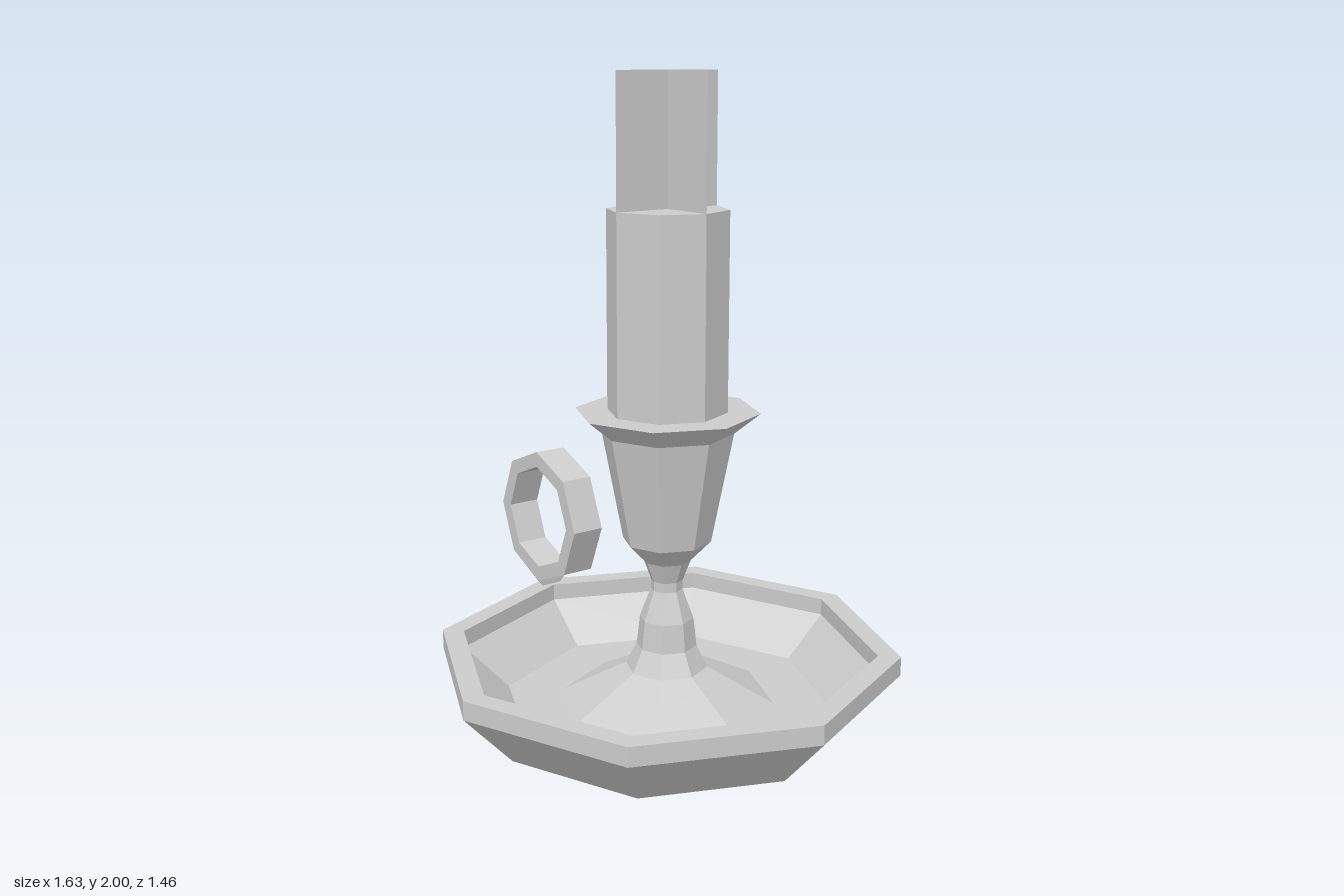
import * as THREE from 'three';

const SIDES = 8;
const AXIS_X = 0.085; // the dish and candle stand off-centre, the handle balances them

const metal = new THREE.MeshStandardMaterial({ color: 0xcccccc, flatShading: true });
const thin = new THREE.MeshStandardMaterial({ color: 0xcccccc, flatShading: true, side: THREE.DoubleSide });

// Eight-sided turned part from [radius, height] pairs, listed bottom to top
function turned(name, profile) {
  const points = profile.map(([r, y]) => new THREE.Vector2(r, y));
  const mesh = new THREE.Mesh(new THREE.LatheGeometry(points, SIDES), metal);
  mesh.name = name;
  mesh.position.x = AXIS_X;
  return mesh;
}

// Block between two rings of four corners, each counter-clockwise seen from above
function loft(bottom, top) {
  const geometry = new THREE.BufferGeometry();
  geometry.setAttribute('position', new THREE.Float32BufferAttribute([...bottom, ...top].flat(), 3));
  const index = [0, 2, 1, 0, 3, 2, 4, 5, 6, 4, 6, 7];
  for (let i = 0; i < 4; i++) {
    const j = (i + 1) % 4;
    index.push(i, j, j + 4, i, j + 4, i + 4);
  }
  geometry.setIndex(index);
  geometry.computeVertexNormals();
  return geometry;
}

export function createModel() {
  const model = new THREE.Group();
  model.name = 'candlestick';

  // Dish with raised rim and sunken floor
  model.add(turned('dish', [
    [0, 0], [0.57, 0], [0.73, 0.175], [0.73, 0.235],
    [0.66, 0.235], [0.66, 0.18], [0.515, 0.055], [0, 0.055],
  ]));

  // Flared foot, waisted stem, cup and drip flange
  model.add(turned('stem', [
    [0.34, 0.055], [0.13, 0.165], [0.095, 0.235], [0.085, 0.325], [0.05, 0.42],
    [0.05, 0.45], [0.075, 0.515], [0.138, 0.58], [0.205, 0.925], [0.285, 0.99], [0, 0.99],
  ]));

  model.add(turned('candle', [[0.185, 0.99], [0.185, 1.6], [0, 1.6]]));

  // Flame as two crossed cards
  const flame = new THREE.Group();
  flame.name = 'flame';
  for (const angle of [0, Math.PI / 2]) {
    const card = new THREE.Mesh(new THREE.PlaneGeometry(0.37, 0.4), thin);
    card.name = 'flameCard';
    card.rotation.y = angle;
    flame.add(card);
  }
  flame.position.set(AXIS_X, 1.8, 0);
  model.add(flame);

  // Finger ring with a rectangular section, standing upright
  const handle = turned('handleRing', [
    [0.18, -0.055], [0.232, -0.055], [0.232, 0.055], [0.18, 0.055], [0.18, -0.055],
  ]);
  handle.rotation.x = Math.PI / 2;
  handle.position.set(-0.587, 0.49, 0);
  model.add(handle);

  // Tapered bracket from the rim to the ring's lower outer side
  const bracket = new THREE.Mesh(loft(
    [[-0.64, 0.23, 0.02], [-0.59, 0.23, 0.03], [-0.59, 0.23, -0.03], [-0.64, 0.23, -0.02]],
    [[-0.751, 0.326, 0.055], [-0.587, 0.258, 0.055], [-0.587, 0.258, -0.055], [-0.751, 0.326, -0.055]],
  ), metal);
  bracket.name = 'handleBracket';
  model.add(bracket);

  return model;
}
